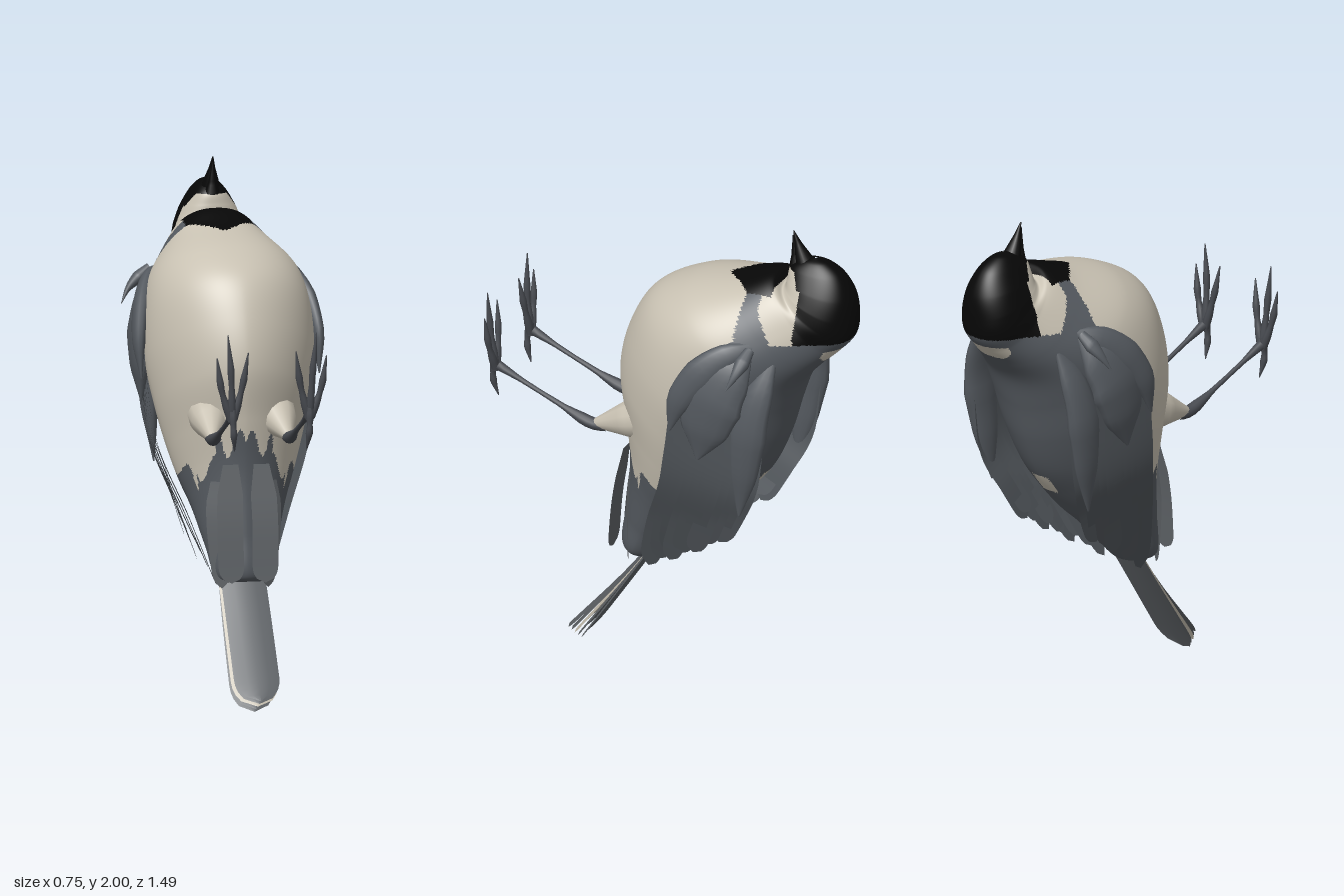
import * as THREE from 'three';
import { mergeVertices } from 'three/addons/utils/BufferGeometryUtils.js';

const mat = (name, color, side = THREE.FrontSide) => {
  const m = new THREE.MeshStandardMaterial({ color, side });
  m.name = name;
  return m;
};
const V = (x, y, z) => new THREE.Vector3(x, y, z);

export function createModel() {
  const bird = new THREE.Group();
  bird.name = 'bird';
  const pale = mat('paleBuff', 0xc8c1b2, THREE.DoubleSide);
  const slate = mat('slateGrey', 0x555a60);
  const black = mat('capBlack', 0x070707);
  const plume = mat('featherGrey', 0x50555a, THREE.DoubleSide);
  const tailGrey = mat('tailGrey', 0x5e6266, THREE.DoubleSide);
  const legGrey = mat('legGrey', 0x474a50);

  const add = (name, geo, material, parent = bird) => {
    const m = new THREE.Mesh(geo, material);
    m.name = name;
    parent.add(m);
  };

  // Tapered tube through points; flat squeezes it sideways
  const limb = (pts, radii, flat = 1, segs = 18, sides = 12) => {
    const curve = new THREE.CatmullRomCurve3(pts);
    let g = new THREE.TubeGeometry(curve, segs, 1, sides, false);
    const p = g.attributes.position, v = V(0, 0, 0);
    for (let i = 0; i < p.count; i++) {
      const t = Math.floor(i / (sides + 1)) / segs;
      const f = t * (radii.length - 1), k = Math.min(radii.length - 2, Math.floor(f));
      const r = THREE.MathUtils.lerp(radii[k], radii[k + 1], f - k);
      const c = curve.getPointAt(t);
      v.fromBufferAttribute(p, i).sub(c).multiplyScalar(r);
      p.setXYZ(i, c.x + v.x * flat, c.y + v.y, c.z + v.z);
    }
    g.deleteAttribute('uv');
    g.deleteAttribute('normal');
    g = mergeVertices(g, 1e-5);
    g.computeVertexNormals();
    return g;
  };

  // Thin blade with a rounded tip, following a curve; camber bends its edges
  const feather = (pts, side, width, camber = V(0, 0, 0)) => {
    const curve = new THREE.CatmullRomCurve3(pts);
    const g = new THREE.PlaneGeometry(1, 1, 4, 28);
    const p = g.attributes.position;
    for (let i = 0; i < p.count; i++) {
      const t = 0.5 - p.getY(i), u = p.getX(i);
      const tip = t > 0.86 ? Math.sqrt(Math.max(0, 1 - ((t - 0.86) / 0.14) ** 2)) : 1;
      const w = width * Math.min(1, 0.6 + 1.5 * t) * tip;
      const c = curve.getPoint(t).addScaledVector(side, u * w).addScaledVector(camber, 4 * u * u * tip);
      p.setXYZ(i, c.x, c.y, c.z);
    }
    g.computeVertexNormals();
    return g;
  };

  // Body and head: cross-sections [belly z, belly y, back z, back y, half width]
  const sections = [
    [-0.57, 1.905, -0.58, 1.905, 0.004], [-0.52, 1.89, -0.63, 1.895, 0.035],
    [-0.475, 1.86, -0.69, 1.855, 0.068], [-0.465, 1.815, -0.735, 1.77, 0.105],
    [-0.46, 1.785, -0.745, 1.68, 0.128], [-0.45, 1.78, -0.735, 1.6, 0.138],
    [-0.415, 1.812, -0.68, 1.53, 0.155], [-0.27, 1.77, -0.61, 1.46, 0.222],
    [-0.05, 1.715, -0.54, 1.37, 0.295], [0.1, 1.63, -0.5, 1.25, 0.32],
    [0.19, 1.48, -0.46, 1.1, 0.325], [0.235, 1.3, -0.4, 0.96, 0.3],
    [0.215, 1.1, -0.31, 0.84, 0.26], [0.2, 0.95, -0.22, 0.74, 0.22],
    [0.2, 0.85, -0.13, 0.66, 0.185], [0.22, 0.65, -0.02, 0.55, 0.14],
    [0.235, 0.49, 0.08, 0.455, 0.1], [0.17, 0.46, 0.15, 0.46, 0.004],
  ];
  const belly = new THREE.CatmullRomCurve3(sections.map(s => V(s[4], s[1], s[0])));
  const back = new THREE.CatmullRomCurve3(sections.map(s => V(s[4], s[3], s[2])));
  const rings = 250, around = 160, pos = [], verts = [];
  const power = (c, e) => Math.sign(c) * Math.abs(c) ** e;
  for (let i = 0; i <= rings; i++) {
    const f = belly.getPoint(i / rings), b = back.getPoint(i / rings);
    const mid = f.clone().add(b).multiplyScalar(0.5);
    // round shoulders, keeled lower belly
    const keel = 0.9 + 0.25 * THREE.MathUtils.smoothstep(i / rings, 0.4, 0.65);
    for (let j = 0; j < around; j++) {
      const a = j / around * Math.PI * 2, c = power(Math.cos(a), keel);
      const v = V(Math.max(0.002, f.x) * power(Math.sin(a), keel),
        mid.y + (f.y - mid.y) * c, mid.z + (f.z - mid.z) * c);
      verts.push(v);
      pos.push(v.x, v.y, v.z);
    }
  }
  // Plumage zones: 0 pale, 1 slate, 2 black
  const zone = ({ x, y, z }) => {
    const ax = Math.abs(x);
    // cap, pointed towards the beak
    if (y > 1.855 || (y > 1.6 && z < -0.555) || (y > 1.8 && z < -0.47 - 0.7 * ax)) return 2;
    // bib, narrowing down the breast
    if (y > 1.66 && z > -0.445 && z < -0.22 && ax < Math.min(0.13, (-0.21 - z) * 0.95)) return 2;
    // cheek, nape patch and rump patch
    if (y > 1.6 && z < -0.41 - Math.max(0, 1.72 - y) * 0.6) return 0;
    if (z < -0.64 && y > 1.5 && y < 1.56 && ax < 0.1) return 0;
    if (z < -0.2 && y > 0.85 && y < 0.93 && ax < 0.04) return 0;
    // breast, with a ragged hem
    const hem = 0.9 + 0.055 * Math.sin(ax * 70) + (ax < 0.11 ? 0.1 : 0) - (z < 0.1 ? 0.05 : 0);
    return y > hem && z > -0.345 + Math.max(0, 1.62 - y) * 0.33 ? 0 : 1;
  };
  const buckets = [[], [], []];
  for (let i = 0; i < rings; i++) for (let j = 0; j < around; j++) {
    const k = (j + 1) % around;
    const p = i * around + j, q = i * around + k, r = p + around, s = q + around;
    for (const t of [[p, r, q], [q, r, s]]) {
      const c = V(0, 0, 0);
      t.forEach(n => c.addScaledVector(verts[n], 1 / 3));
      buckets[zone(c)].push(...t);
    }
  }
  const bodyGeo = new THREE.BufferGeometry();
  bodyGeo.setAttribute('position', new THREE.Float32BufferAttribute(pos, 3));
  bodyGeo.setIndex(buckets.flat());
  let start = 0;
  buckets.forEach((b, i) => { bodyGeo.addGroup(start, b.length, i); start += b.length; });
  bodyGeo.computeVertexNormals();
  add('bodyAndHead', bodyGeo, [pale, slate, black]);

  // Beak, upper and lower halves
  add('upperBeak', limb([V(0, 1.86, -0.535), V(0, 1.92, -0.51), V(0, 2, -0.48)], [0.042, 0.028, 0.013, 0.002]), black);
  add('lowerBeak', limb([V(0, 1.858, -0.495), V(0, 1.91, -0.487), V(0, 1.98, -0.478)], [0.03, 0.017, 0.009, 0.002]), black);

  for (const s of [1, -1]) {
    const P = (x, y, z) => V(s * x, y, z);

    // Folded wing
    const wing = new THREE.Group();
    wing.name = s > 0 ? 'leftWing' : 'rightWing';
    bird.add(wing);
    add('shoulderRidge', limb([P(0.2, 1.6, -0.46), P(0.3, 1.52, -0.29), P(0.345, 1.37, -0.17), P(0.345, 1.21, -0.12)],
      [0.005, 0.055, 0.065, 0.05, 0.005], 0.5), slate, wing);
    add('coverts', limb([P(0.24, 1.58, -0.42), P(0.315, 1.4, -0.3), P(0.325, 1.1, -0.23)],
      [0.005, 0.1, 0.13, 0.1, 0.005], 0.33), slate, wing);
    add('scapulars', limb([P(0.19, 1.58, -0.5), P(0.265, 1.3, -0.43), P(0.25, 0.85, -0.37)],
      [0.005, 0.06, 0.08, 0.06, 0.005], 0.5), slate, wing);
    add('alula', limb([P(0.26, 1.59, -0.42), P(0.34, 1.52, -0.4), P(0.375, 1.46, -0.375)],
      [0.02, 0.03, 0.015, 0.002], 0.6), slate, wing);
    const blades = 10;
    for (let i = 0; i < blades; i++) {
      const t = i / (blades - 1), L = (a, b) => a + (b - a) * t;
      const out = 0.025 * Math.sin(t * Math.PI), short = (i % 3) * 0.025;
      add('flightFeather', feather([
        P(L(0.335, 0.25) + out, L(1.35, 1.3), L(-0.15, -0.46)),
        P(L(0.29, 0.25) + out, 0.97, L(-0.1, -0.4)),
        P(L(0.185, 0.21) + out, L(0.69, 0.82), L(0.01, -0.33)),
        P(L(0.095, 0.18) + out, L(0.44, 0.67) + short, L(0.09, -0.25) - short * 0.5),
      ], P(0.2, 0.3, 0.92), 0.085), plume, wing);
    }

    // Undertail coverts
    add('undertailCovert', feather([P(0.06, 0.92, 0.2), P(0.068, 0.7, 0.235), P(0.065, 0.47, 0.255)],
      V(1, 0, 0), 0.1), tailGrey);
    add('sideCovert', feather([P(0.11, 0.85, 0.16), P(0.115, 0.7, 0.17), P(0.09, 0.44, 0.18)],
      P(0.85, 0, -0.5), 0.07), tailGrey);

    // Leg and foot
    const leg = new THREE.Group();
    leg.name = s > 0 ? 'leftLeg' : 'rightLeg';
    bird.add(leg);
    add('thigh', limb([P(0.12, 1.13, 0.02), P(0.135, 1.08, 0.17), P(0.148, 1.035, 0.3)],
      [0.06, 0.085, 0.07, 0.042, 0.015]), pale, leg);
    add('shank', limb([P(0.148, 1.04, 0.24), P(0.148, 1.035, 0.3), P(0.148, 1.1, 0.48), P(0.15, 1.19, 0.7)],
      [0.022, 0.024, 0.011, 0.009, 0.01, 0.019]), legGrey, leg);
    const toes = [
      [P(0.15, 1.17, 0.71), P(0.157, 1.34, 0.73), P(0.172, 1.51, 0.737)],
      [P(0.145, 1.18, 0.71), P(0.112, 1.31, 0.72), P(0.092, 1.44, 0.735)],
      [P(0.155, 1.18, 0.71), P(0.192, 1.29, 0.72), P(0.212, 1.42, 0.73)],
      [P(0.15, 1.22, 0.715), P(0.147, 1.13, 0.725), P(0.14, 1.055, 0.705)],
    ];
    for (const t of toes) {
      add('toe', limb(t, [0.016, 0.016, 0.011, 0.014, 0.008, 0.002], 1, 15, 8), legGrey, leg);
    }
  }

  // Tail: a fanned stack of long feathers around a slightly wider pale one
  for (let i = 0; i < 5; i++) {
    const d = (i - 2) * 0.012, x = (i - 2) * 0.004, middle = i === 2;
    add(middle ? 'paleTailFeather' : 'tailFeather', feather(
      [V(0, 0.62, 0.03), V(x, 0.35, 0.21 + d * 0.5), V(x, 0.024 + d, 0.445 + d)],
      V(1, 0, 0), middle ? 0.182 : 0.17, V(0, -0.007, -0.009)), middle ? pale : tailGrey);
  }
  return bird;
}
